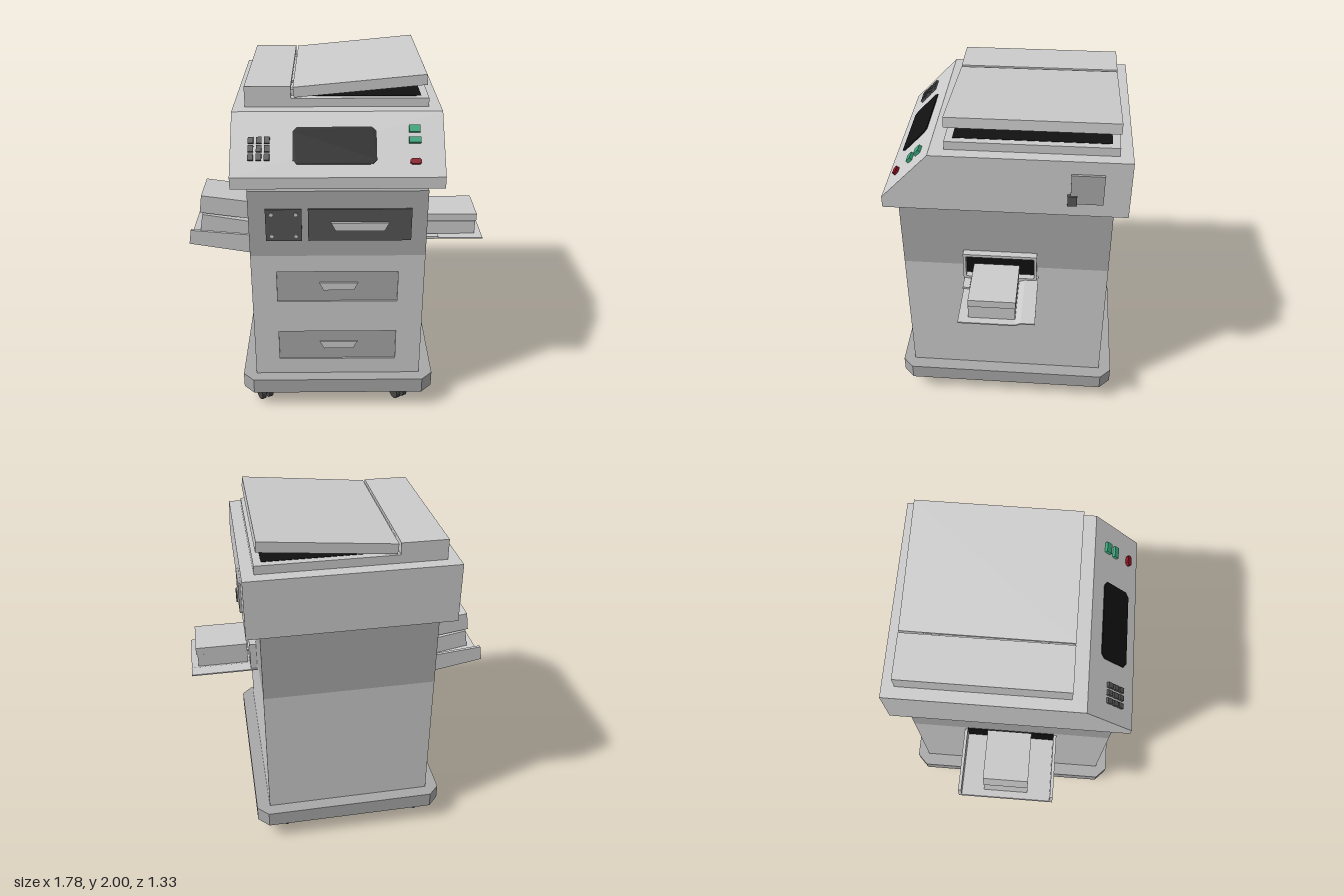
import * as THREE from 'three';

const mat = (color, side = THREE.FrontSide) => new THREE.MeshStandardMaterial({ color, side });
const LIGHT = mat(0xcccccc), MID = mat(0xa8a8a8), DARK = mat(0x555555), BLACK = mat(0x111111);
const PAPER = mat(0xeeeeee), GREEN = mat(0x3aa57c), RED = mat(0x8a1020), RUBBER = mat(0x444444);

function add(parent, name, geo, material) {
  const m = new THREE.Mesh(geo, material);
  m.name = name;
  parent.add(m);
  return m;
}

// Box given by its limits on each axis
function box(parent, name, material, x0, x1, y0, y1, z0, z1) {
  const m = add(parent, name, new THREE.BoxGeometry(x1 - x0, y1 - y0, z1 - z0), material);
  m.position.set((x0 + x1) / 2, (y0 + y1) / 2, (z0 + z1) / 2);
  return m;
}

const poly = pts => new THREE.Shape(pts.map(p => new THREE.Vector2(...p)));
const rect = (x0, x1, y0, y1) => poly([[x0, y0], [x1, y0], [x1, y1], [x0, y1]]);
const chamfered = (w, h, c) => poly([[-w + c, -h], [w - c, -h], [w, -h + c], [w, h - c],
  [w - c, h], [-w + c, h], [-w, h - c], [-w, -h + c]]);
const extrude = (shape, depth) => new THREE.ExtrudeGeometry(shape, { depth, bevelEnabled: false });

// Profile given as [-z, y], swept along x from x0 to x1
const sweepX = (shape, x0, x1) => extrude(shape, x1 - x0).rotateY(Math.PI / 2).translate(x0, 0, 0);

function handle(parent, cx, cy, w, z) {
  const h = 0.024, s = poly([[-w + 0.025, -h], [w - 0.025, -h], [w, h], [-w, h]]);
  add(parent, 'drawerHandle', extrude(s, 0.014), LIGHT).position.set(cx, cy, z);
}

function caster(parent, x, z) {
  const g = new THREE.Group();
  g.name = 'caster';
  g.position.set(x, 0, z);
  g.rotation.y = 0.5;
  for (const s of [-1, 1]) {
    const wheel = add(g, 'casterWheel', new THREE.CylinderGeometry(0.047, 0.047, 0.026, 20).rotateZ(Math.PI / 2), RUBBER);
    wheel.position.set(s * 0.023, 0.048, 0);
  }
  box(g, 'casterFork', RUBBER, -0.011, 0.011, 0.04, 0.1, -0.022, 0.022);
  const stem = add(g, 'casterStem', new THREE.CylinderGeometry(0.016, 0.016, 0.06, 12), RUBBER);
  stem.position.y = 0.095;
  parent.add(g);
}

function cabinet(g) {
  // Base plate with cut corners, on four casters
  add(g, 'basePlate', extrude(chamfered(0.573, 0.665, 0.065), 0.095).rotateX(-Math.PI / 2), MID).position.y = 0.12;
  for (const x of [-0.455, 0.375]) for (const z of [0.555, -0.525]) caster(g, x, z);

  // Lower cabinet with two recessed drawers
  box(g, 'lowerCabinet', LIGHT, -0.495, 0.495, 0.215, 1.035, -0.592, 0.58);
  const front = rect(-0.495, 0.495, 0.215, 1.035);
  for (const y of [0.32, 0.73]) {
    front.holes.push(rect(-0.35, 0.345, y, y + 0.2));
    box(g, 'paperDrawer', MID, -0.35, 0.345, y, y + 0.2, 0.575, 0.585);
    handle(g, 0.005, y + 0.1, 0.112, 0.582);
  }
  add(g, 'cabinetFront', extrude(front, 0.015), LIGHT).position.z = 0.58;

  // Upper cabinet with service panel and dark drawer
  box(g, 'upperCabinet', MID, -0.495, 0.495, 1.035, 1.435, -0.592, 0.595);
  box(g, 'servicePanel', DARK, -0.4, -0.2, 1.137, 1.33, 0.59, 0.606);
  for (const x of [-0.367, -0.232]) for (const y of [1.168, 1.3]) {
    const screw = add(g, 'panelScrew', new THREE.CylinderGeometry(0.01, 0.01, 0.006, 12).rotateX(Math.PI / 2), LIGHT);
    screw.position.set(x, y, 0.608);
  }
  box(g, 'upperDrawer', DARK, -0.165, 0.408, 1.137, 1.33, 0.59, 0.606);
  handle(g, 0.123, 1.228, 0.16, 0.606);
}

function outputSide(g) {
  // Framed paper slot
  const frame = rect(-0.244, 0.18, 0.955, 1.14);
  frame.holes.push(rect(-0.228, 0.165, 0.98, 1.122));
  add(g, 'outputSlotFrame', sweepX(frame, 0.49, 0.535), LIGHT);
  box(g, 'outputSlot', BLACK, 0.49, 0.499, 0.975, 1.125, -0.17, 0.232);
  // Thin tray with a raised back strip, and two stacks of paper
  const section = poly([[-0.235, 0.945], [0.08, 0.945], [0.115, 0.96], [0.19, 0.96],
    [0.19, 0.968], [0.113, 0.968], [0.078, 0.953], [-0.235, 0.953]]);
  add(g, 'outputTray', sweepX(section, 0.495, 0.89), LIGHT);
  box(g, 'trayLedge', LIGHT, 0.495, 0.618, 0.953, 0.964, 0.2, 0.24);
  box(g, 'outputPaper', PAPER, 0.545, 0.848, 0.953, 1.038, -0.08, 0.18);
  box(g, 'outputPaper', PAPER, 0.545, 0.855, 1.04, 1.086, -0.083, 0.178);
}

function feedSide(g) {
  box(g, 'feedSlot', BLACK, -0.5, -0.49, 0.9, 1.03, -0.265, 0.26);
  // Sloping tray: floor and two tapering side walls
  const floor = poly([[-0.894, 0.944], [-0.495, 0.875], [-0.495, 0.893], [-0.891, 0.962]]);
  add(g, 'feedTrayFloor', extrude(floor, 0.563), LIGHT).position.z = -0.285;
  const wall = poly([[-0.894, 0.944], [-0.495, 0.875], [-0.495, 0.998], [-0.88, 1.034]]);
  for (const z of [-0.285, 0.26]) add(g, 'feedTrayWall', extrude(wall, 0.018), LIGHT).position.z = z;
  // Tilted stacks of paper
  const stacks = [[-0.69, 0.98, 0.305, 0.12, -0.17], [-0.688, 1.114, 0.3, 0.115, -0.14]];
  for (const [x, y, w, h, tilt] of stacks) {
    const stack = add(g, 'feedPaper', new THREE.BoxGeometry(w, h, 0.26), PAPER);
    stack.position.set(x, y, -0.005);
    stack.rotation.z = tilt;
  }
}

function controlPanel(g) {
  // Local z points out of the sloping face; heights are converted to run along it
  const p = new THREE.Group();
  p.name = 'controlPanel';
  p.position.set(0, 1.6825, 0.5325);
  p.rotation.x = -0.767;
  const along = y => (y - 1.6825) / 0.72;
  add(p, 'screen', extrude(chamfered(0.225, 0.107, 0.024), 0.008), BLACK).position.set(-0.017, along(1.676), -0.002);
  const button = (name, m, x, y, w, h, d) => {
    add(p, name, new THREE.BoxGeometry(w, h, d), m).position.set(x, along(y), d / 2 - 0.002);
  };
  for (const x of [-0.465, -0.421, -0.378]) for (const y of [1.697, 1.662, 1.628])
    button('keypadKey', DARK, x, y, 0.029, 0.036, 0.016);
  button('greenButton', GREEN, 0.413, 1.743, 0.06, 0.04, 0.02);
  button('greenButton', GREEN, 0.413, 1.696, 0.064, 0.032, 0.02);
  add(p, 'redButton', extrude(chamfered(0.03, 0.016, 0.01), 0.02), RED).position.set(0.413, along(1.608), -0.002);
  g.add(p);
}

function scanner(g) {
  // Scanner housing with sloping front
  const lip = rect(-0.665, 0.665, 1.48, 1.545);
  add(g, 'scannerSkirt', sweepX(lip, -0.575, 0.572), LIGHT);
  const profile = poly([[-0.665, 1.545], [0.665, 1.545], [0.665, 1.82], [-0.4, 1.82]]);
  add(g, 'scannerHousing', sweepX(profile, -0.575, 0.572), LIGHT);
  controlPanel(g);
  box(g, 'sideCover', MID, 0.565, 0.587, 1.565, 1.743, -0.525, -0.35);
  box(g, 'sideLatch', DARK, 0.565, 0.595, 1.555, 1.615, -0.385, -0.335);

  // Scanner bed, glass, fixed block, hinge and raised lid
  const z0 = -0.595, z1 = 0.32;
  box(g, 'scannerBed', LIGHT, -0.51, 0.505, 1.815, 1.868, z0, z1);
  box(g, 'scannerGlass', BLACK, -0.22, 0.465, 1.86, 1.87, z0 + 0.04, z1 - 0.04);
  box(g, 'feederBlock', LIGHT, -0.51, -0.255, 1.86, 1.935, z0, z1);
  const hinge = [[z0 + 0.13, z0 + 0.17], [z0 + 0.21, z1 - 0.18], [z1 - 0.14, z1 - 0.01]];
  for (const [a, b] of hinge) box(g, 'lidHinge', LIGHT, -0.26, -0.232, 1.88, 1.916, a, b);
  const lid = new THREE.Group();
  lid.name = 'lidPivot';
  lid.position.set(-0.238, 1.873, 0);
  lid.rotation.z = 0.095;
  box(lid, 'scannerLid', LIGHT, 0, 0.734, 0, 0.058, z0, z1);
  g.add(lid);
}

export function createModel() {
  const g = new THREE.Group();
  g.name = 'photocopier';
  cabinet(g);
  outputSide(g);
  feedSide(g);
  scanner(g);
  return g;
}
